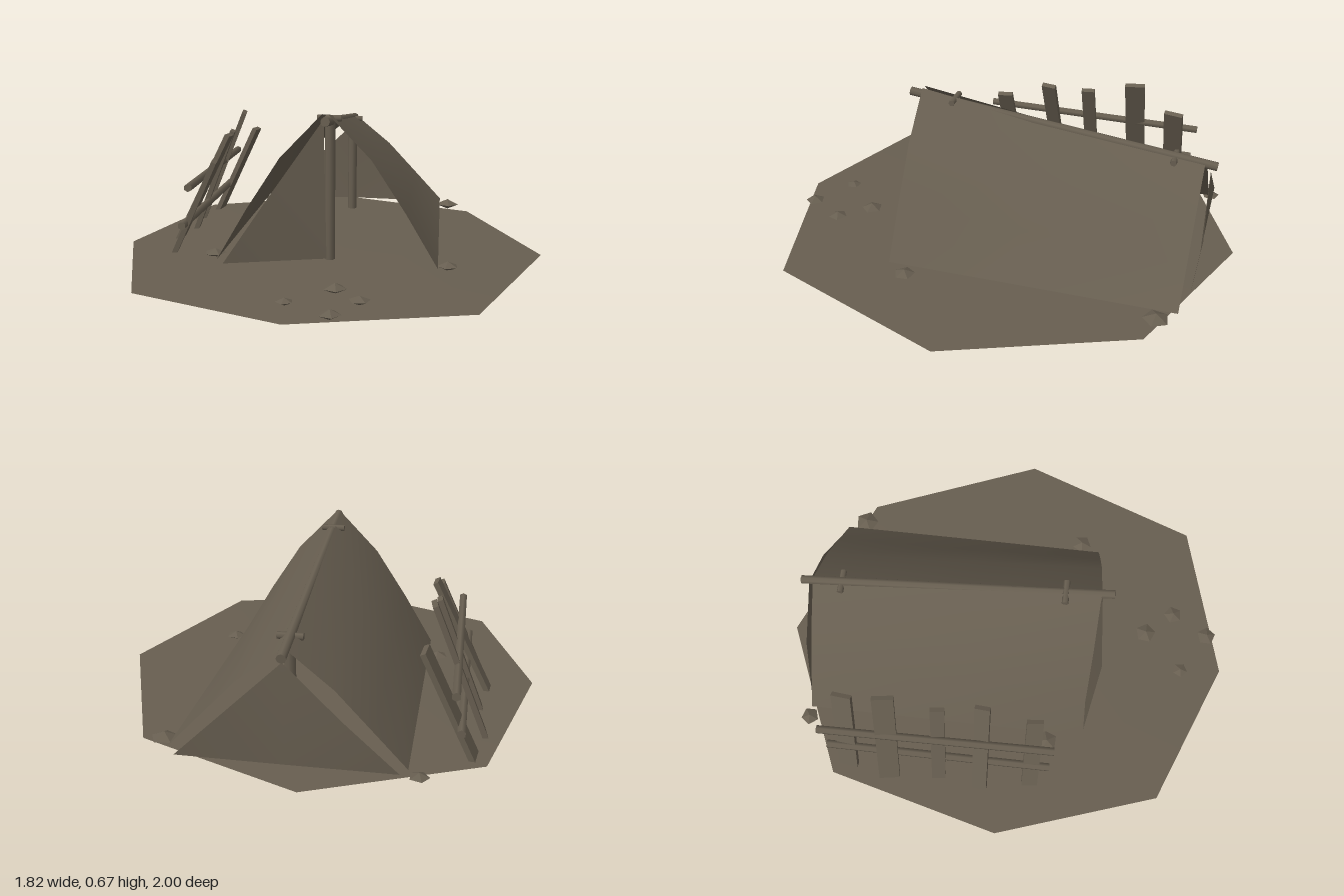
import * as THREE from 'three';

const canvasBrown = new THREE.MeshStandardMaterial({ color: 0x675e50, side: THREE.DoubleSide });
canvasBrown.name = 'weatheredBrown';

const V = (x, y, z) => new THREE.Vector3(x, y, z);

function addMesh(parent, name, geometry) {
  const mesh = new THREE.Mesh(geometry, canvasBrown);
  mesh.name = name;
  parent.add(mesh);
  return mesh;
}

// Surface through equally long rows of points
function loft(rows, closed = false) {
  const n = rows[0].length, index = [];
  for (let r = 0; r < rows.length - 1; r++) {
    for (let c = 0; c < (closed ? n : n - 1); c++) {
      const d = (c + 1) % n, a = r * n + c, b = r * n + d;
      index.push(a, a + n, b, b, a + n, b + n);
    }
  }
  const g = new THREE.BufferGeometry().setFromPoints(rows.flat());
  g.setIndex(index);
  g.computeVertexNormals();
  return g;
}

// Round pole between two points
function pole(parent, name, a, b, radius, sides = 8) {
  const mesh = addMesh(parent, name, new THREE.CylinderGeometry(radius, radius, a.distanceTo(b), sides));
  mesh.position.copy(a).add(b).multiplyScalar(0.5);
  mesh.quaternion.setFromUnitVectors(V(0, 1, 0), b.clone().sub(a).normalize());
}

// Cloth panel fanned out from one corner
function panel(parent, name, points) {
  const g = new THREE.BufferGeometry().setFromPoints(points);
  const index = [];
  for (let i = 1; i < points.length - 1; i++) index.push(0, i, i + 1);
  g.setIndex(index);
  g.computeVertexNormals();
  addMesh(parent, name, g);
}

export function createModel() {
  const model = new THREE.Group();
  model.name = 'tentCamp';

  // Ground: irregular octagon, slightly domed in the middle
  const rim = [[-0.06, -1], [-0.72, -0.71], [-0.91, 0.04], [-0.68, 0.74],
    [-0.06, 1], [0.62, 0.82], [0.91, 0.04], [0.61, -0.72]];
  const ring = (s, y) => rim.map(([x, z]) => V(x * s, y, z * s));
  addMesh(model, 'ground', loft([ring(0, 0.04), ring(0.4, 0.034), ring(1, 0.025)], true));

  // Tent sheets: each curved side falls from the sloping ridge
  const tent = new THREE.Group();
  tent.name = 'tent';
  model.add(tent);
  const sections = [
    { z: 0.385, y: [0.67, 0.49, 0.275, 0.055] },
    { z: -0.15, y: [0.585, 0.425, 0.24, 0.06] },
    { z: -0.84, y: [0.497, 0.355, 0.205, 0.065] },
  ];
  for (const side of [-1, 1]) {
    const xs = [0.012, 0.185, 0.325, 0.455];
    const rows = sections.map(({ z, y }) => xs.map((x, i) =>
      V(side * x + 0.015, y[i], z + side * 0.01 * i / 3)));
    if (side > 0) rows.forEach(r => r.reverse());
    addMesh(tent, side < 0 ? 'rightSheet' : 'leftSheet', loft(rows.reverse()));
  }

  // Half-open front flap and closed back panel, both bulging outwards
  panel(tent, 'frontFlap', [V(-0.2, 0.35, 0.43), V(-0.41, 0.045, 0.39),
    V(0.02, 0.08, 0.385), V(0.01, 0.65, 0.39)]);
  panel(tent, 'backPanel', [V(0.015, 0.05, -0.865), V(0.44, 0.045, -0.855),
    V(0.23, 0.255, -0.88), V(0.015, 0.46, -0.865), V(-0.2, 0.255, -0.88), V(-0.41, 0.045, -0.855)]);

  // Ridge pole, upright posts and the pegs that pin them
  pole(tent, 'ridgePole', V(0.022, 0.647, 0.44), V(0.012, 0.485, -0.89), 0.019);
  for (const [z, top] of [[0.24, 0.635], [-0.715, 0.5]]) {
    pole(tent, 'post', V(0.015, 0.005, z), V(0.018, top, z), 0.022);
    pole(tent, 'peg', V(-0.035, top, z), V(0.065, top, z), 0.014, 6);
  }

  // Leaning rack: planks on two rails
  const rack = new THREE.Group();
  rack.name = 'plankRack';
  model.add(rack);
  const planks = [ // z, bottom x, top x, top y, width, twist
    [0.17, -0.68, -0.49, 0.43, 0.07, 0.12],
    [-0.05, -0.72, -0.475, 0.51, 0.065, -0.1],
    [-0.235, -0.69, -0.5, 0.5, 0.06, 0.1],
    [-0.455, -0.71, -0.49, 0.56, 0.09, 0.14],
    [-0.645, -0.675, -0.47, 0.45, 0.085, -0.12],
  ];
  for (const [z, x0, x1, y1, width, twist] of planks) {
    const a = V(x0, 0.015, z), b = V(x1, y1, z);
    const plank = addMesh(rack, 'plank', new THREE.BoxGeometry(0.022, a.distanceTo(b), width));
    plank.position.copy(a).add(b).multiplyScalar(0.5);
    plank.rotation.set(0, twist, -Math.atan2(x1 - x0, y1 - 0.015), 'ZYX');
  }
  pole(rack, 'lowerRail', V(-0.62, 0.16, 0.25), V(-0.62, 0.16, -0.73), 0.018, 6);
  pole(rack, 'upperRail', V(-0.585, 0.33, 0.26), V(-0.595, 0.32, -0.75), 0.018, 6);

  // Stones: flat five-sided lumps at the sheet corners and around the fire pit
  const stoneShape = new THREE.SphereGeometry(1, 5, 2).toNonIndexed();
  stoneShape.computeVertexNormals();
  const stones = [ // x, z, radius, height
    [-0.48, -0.855, 0.04, 0.018], [0.51, -0.75, 0.055, 0.025],
    [-0.48, 0.23, 0.048, 0.02], [0.51, 0.31, 0.045, 0.02],
    [0.085, 0.645, 0.047, 0.022], [0.19, 0.77, 0.042, 0.018],
    [-0.08, 0.815, 0.034, 0.015], [0.1, 0.93, 0.043, 0.02],
  ];
  stones.forEach(([x, z, r, h], i) => {
    const stone = addMesh(model, i < 4 ? 'cornerStone' : 'fireStone', stoneShape);
    stone.position.set(x, i === 1 ? 0.055 : 0.043, z);
    stone.scale.set(r, h, r);
    stone.rotation.y = i * 1.7;
  });

  return model;
}
